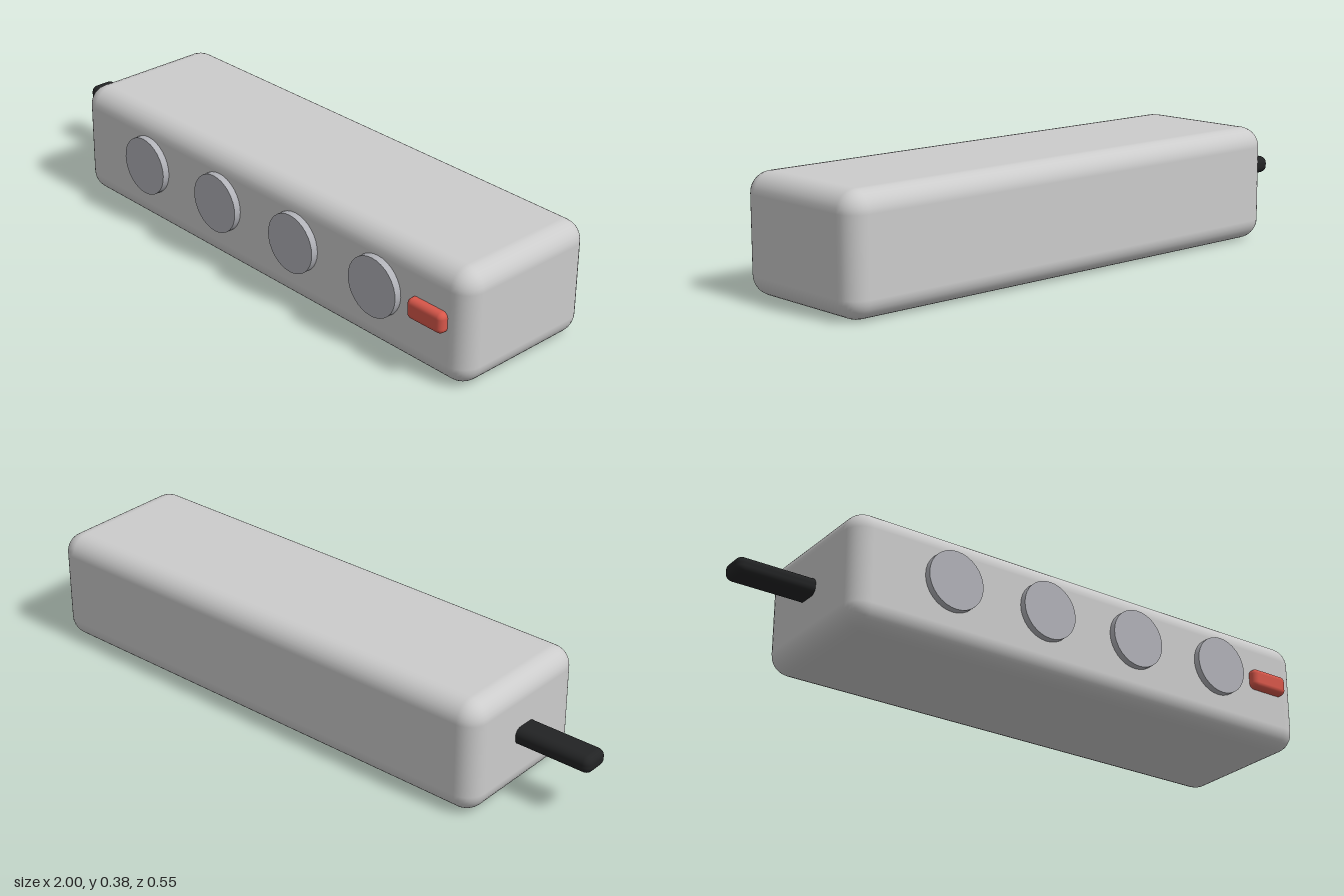
import * as THREE from 'three';
import { RoundedBoxGeometry } from 'three/addons/geometries/RoundedBoxGeometry.js';

const grey = new THREE.MeshStandardMaterial({ color: 0xcccccc });
const socketGrey = new THREE.MeshStandardMaterial({ color: 0xb1b2b8 });
const red = new THREE.MeshStandardMaterial({ color: 0xd8574a });
const black = new THREE.MeshStandardMaterial({ color: 0x222324 });

// Rounded box spanning two opposite corners
function roundedPart(name, min, max, radius, material, segments = 4) {
  const size = max.map((v, i) => v - min[i]);
  const mesh = new THREE.Mesh(new RoundedBoxGeometry(...size, segments, radius), material);
  mesh.position.set(...max.map((v, i) => (v + min[i]) / 2));
  mesh.name = name;
  return mesh;
}

export function createModel() {
  const group = new THREE.Group();
  group.name = 'powerStrip';

  // Housing, rocker switch and flat cable
  group.add(
    roundedPart('housing', [-0.74, 0, -0.273], [1, 0.375, 0.245], 0.066, grey),
    roundedPart('switch', [0.79, 0.173, 0.22], [0.93, 0.24, 0.273], 0.018, red),
    roundedPart('cable', [-1, 0.163, -0.065], [-0.7, 0.22, 0.029], 0.024, black)
  );

  // Row of four round outlets on the front
  const disc = new THREE.CylinderGeometry(0.097, 0.097, 0.04, 32).rotateX(Math.PI / 2);
  for (let i = 0; i < 4; i++) {
    const outlet = new THREE.Mesh(disc, socketGrey);
    outlet.name = `outlet${i + 1}`;
    outlet.position.set(-0.395 + i * 0.348, 0.211, 0.248);
    group.add(outlet);
  }
  return group;
}
